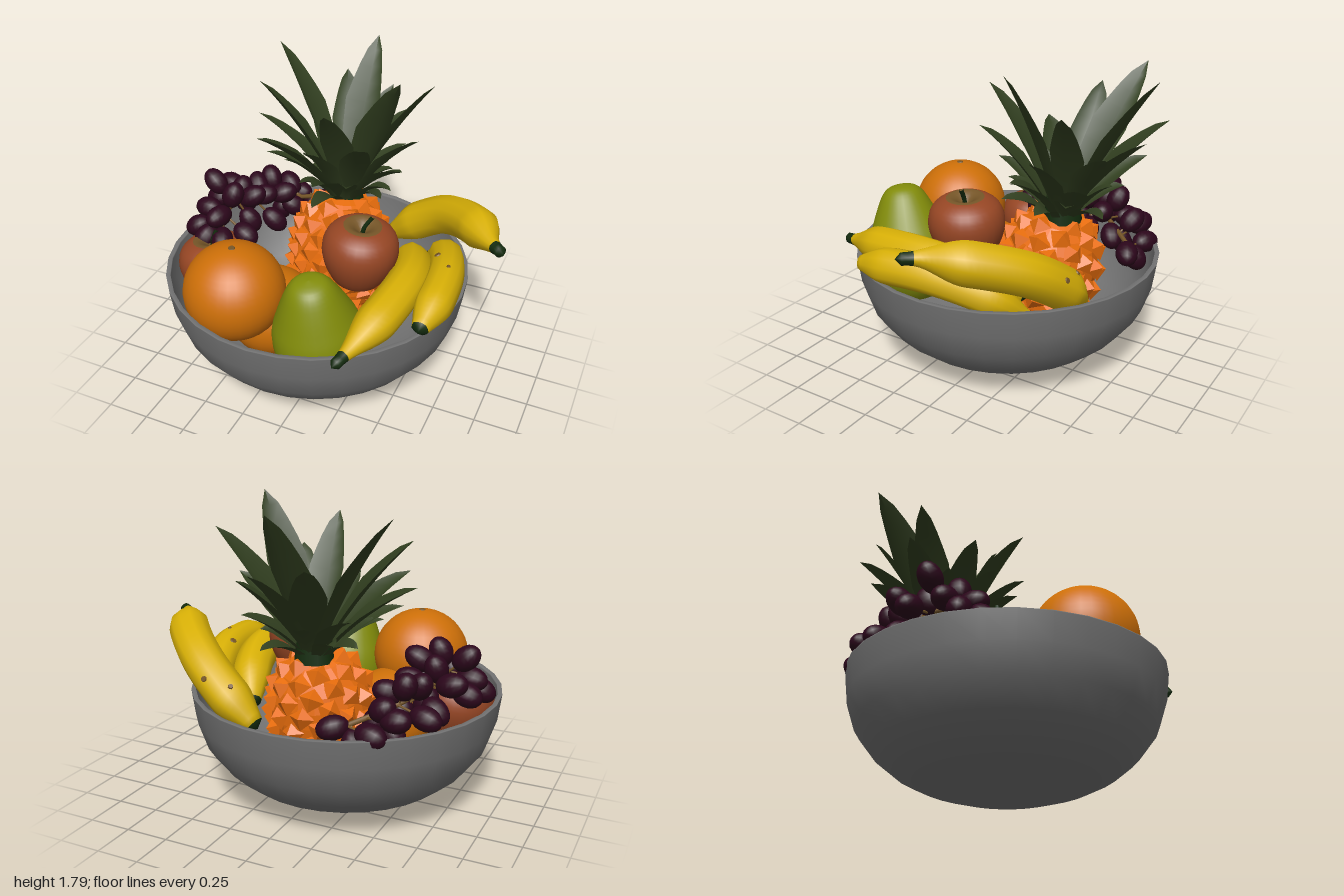
import * as THREE from 'three';
import { mergeVertices } from 'three/addons/utils/BufferGeometryUtils.js';

const V = (x, y, z) => new THREE.Vector3(x, y, z);
const UP = V(0, 1, 0);

function material(name, color, options = {}) {
  const m = new THREE.MeshStandardMaterial({ color, ...options });
  m.name = name;
  return m;
}

const mats = {
  bowl: material('bowl grey', 0x747474),
  banana: material('banana yellow', 0xd8b006),
  tip: material('tip dark green', 0x142c0e),
  orange: material('orange skin', 0xcd6f08),
  pear: material('pear green', 0x828c0a),
  apple: material('apple red', 0x964624),
  grape: material('grape purple', 0x2c061b),
  leaf: material('leaf green', 0x324020, { side: THREE.DoubleSide }),
  pineapple: material('pineapple orange', 0xfa760e, { flatShading: true }),
  stem: material('stem brown', 0x765628),
};

function add(parent, name, geometry, mat, position) {
  const mesh = new THREE.Mesh(geometry, mat);
  mesh.name = name;
  if (position) mesh.position.copy(position);
  parent.add(mesh);
  return mesh;
}

function lathe(profile, segments) {
  return new THREE.LatheGeometry(profile.map(p => new THREE.Vector2(p[0], p[1])), segments);
}

function smoothLathe(profile, segments) {
  const curve = new THREE.SplineCurve(profile.map(p => new THREE.Vector2(p[0], p[1])));
  const points = curve.getPoints(28);
  points.forEach(p => { p.x = Math.max(0, p.x); });
  return new THREE.LatheGeometry(points, segments);
}

function tube(points, radius) {
  return new THREE.TubeGeometry(new THREE.CatmullRomCurve3(points), 12, radius, 6);
}

// Tapered curved tube with dark ends; spots are [position along, direction, size]
function banana(parent, points, radius, spots) {
  const rings = 40, sides = 12;
  const curve = new THREE.CatmullRomCurve3(points.map(p => V(...p)));
  let geo = new THREE.TubeGeometry(curve, rings, radius, sides);
  const profile = u => {
    if (u === 0 || u === 1) return 0;
    const a = THREE.MathUtils.smoothstep(u, 0.04, 0.3);
    const b = THREE.MathUtils.smoothstep(1 - u, -0.04, 0.2);
    return (0.28 + 0.72 * a) * (0.35 + 0.65 * b);
  };
  const pos = geo.attributes.position, v = V();
  for (let i = 0; i <= rings; i++) {
    const centre = curve.getPointAt(i / rings);
    for (let j = 0; j <= sides; j++) {
      const k = i * (sides + 1) + j;
      const ridge = 1 + 0.04 * Math.cos(j / sides * Math.PI * 10);
      v.fromBufferAttribute(pos, k).sub(centre).multiplyScalar(profile(i / rings) * ridge).add(centre);
      pos.setXYZ(k, v.x, v.y, v.z);
    }
  }
  geo.deleteAttribute('uv');
  geo.deleteAttribute('normal');
  geo = mergeVertices(geo);
  geo.computeVertexNormals();
  const ring = sides * 6;
  geo.addGroup(0, ring * 3, 1);
  geo.addGroup(ring * 3, ring * (rings - 4), 0);
  geo.addGroup(ring * (rings - 1), ring, 1);
  add(parent, 'banana', geo, [mats.banana, mats.tip]);
  spots.forEach(([u, dir, size]) => {
    // Keep the direction square to the banana's length
    const n = V(...dir).projectOnPlane(curve.getTangentAt(u)).normalize();
    const centre = curve.getPointAt(u).addScaledVector(n, radius * profile(u));
    const spot = add(parent, 'bananaSpot', new THREE.CylinderGeometry(size * 0.8, size, 0.009, 8), mats.stem, centre);
    spot.quaternion.setFromUnitVectors(UP, n);
  });
}

// Broad pointed leaf with a cupped section, swept along a bent spine
function leaf(parent, base, tip, halfWidth, axis) {
  const mid = base.clone().lerp(tip, 0.5).addScaledVector(axis, 0.08);
  const spine = new THREE.QuadraticBezierCurve3(base, mid, tip);
  const side = axis.clone().cross(tip.clone().sub(base)).normalize();
  const steps = 8, verts = [], index = [];
  for (let i = 0; i <= steps; i++) {
    const t = i / steps, p = spine.getPoint(t);
    const w = halfWidth * (t < 0.5 ? 0.6 + 0.8 * t : Math.pow((1 - t) / 0.5, 0.62));
    const lift = side.clone().cross(spine.getTangent(t)).normalize().multiplyScalar(-w * 0.42);
    for (const s of [-1, 0, 1]) {
      const q = p.clone().addScaledVector(side, s * w).addScaledVector(lift, Math.abs(s));
      verts.push(q.x, q.y, q.z);
    }
    if (i < steps) for (const k of [0, 1]) {
      const a = i * 3 + k;
      index.push(a, a + 1, a + 3, a + 1, a + 4, a + 3);
    }
  }
  const geo = new THREE.BufferGeometry();
  geo.setAttribute('position', new THREE.Float32BufferAttribute(verts, 3));
  geo.setIndex(index);
  geo.computeVertexNormals();
  add(parent, 'crownLeaf', geo, mats.leaf);
}

function pineapple(parent) {
  const group = new THREE.Group();
  group.name = 'pineapple';
  parent.add(group);
  const centre = V(-0.08, 0.55, -0.26), axis = V(0, 0.4, -0.09).normalize();
  const body = new THREE.Group();
  body.name = 'pineappleBody';
  body.position.copy(centre);
  body.quaternion.setFromUnitVectors(UP, axis);
  group.add(body);
  const radiusAt = y => 0.29 * Math.pow(Math.max(0, 1 - Math.pow(Math.abs(y) / 0.41, 2.6)), 0.5);
  const profile = [];
  for (let i = 0; i <= 14; i++) {
    const y = -0.41 * Math.cos(i / 14 * Math.PI);
    profile.push([radiusAt(y), y]);
  }
  add(body, 'pineappleCore', lathe(profile, 18), mats.pineapple);
  // Pointed eyes arranged in a spiral
  const spike = new THREE.ConeGeometry(0.072, 0.06, 4);
  const count = 100;
  for (let i = 0; i < count; i++) {
    const y = -0.37 + 0.75 * i / (count - 1), a = i * 2.39996, r = radiusAt(y);
    const slope = (radiusAt(y - 0.01) - radiusAt(y + 0.01)) / 0.02;
    const normal = V(Math.cos(a), slope + 0.25, Math.sin(a)).normalize();
    const eye = add(body, 'pineappleEye', spike, mats.pineapple, V(r * Math.cos(a), y, r * Math.sin(a)));
    eye.position.addScaledVector(normal, 0.022);
    eye.quaternion.setFromUnitVectors(UP, normal);
  }
  // Crown: tall leaves by tip position and half width
  const root = centre.clone().addScaledVector(axis, 0.39);
  const tips = [
    [-0.09, 1.77, -0.89, 0.11], [0.3, 1.79, -0.2, 0.11], [-0.62, 1.75, -0.6, 0.11], [-0.02, 1.66, 0.09, 0.1],
    [0.38, 1.64, -0.58, 0.1], [-0.62, 1.6, -0.32, 0.1], [0.18, 1.47, 0.03, 0.09], [-0.5, 1.38, -0.03, 0.1],
    [0.02, 1.47, -0.88, 0.09], [-0.29, 1.52, -0.88, 0.1], [0.18, 1.4, -0.73, 0.09], [-0.66, 1.37, -0.36, 0.09],
    [0.36, 1.37, -0.39, 0.09], [-0.2, 1.35, -0.02, 0.09], [-0.1, 1.21, 0.08, 0.08], [0.32, 1.23, -0.25, 0.08],
    [-0.52, 1.22, -0.18, 0.08], [-0.45, 1.25, -0.7, 0.08], [0.2, 1.2, -0.65, 0.08],
  ];
  tips.forEach(([x, y, z, w]) => {
    const out = V(x - root.x, 0, z - root.z).normalize().multiplyScalar(0.06);
    const base = root.clone().add(out).addScaledVector(axis, THREE.MathUtils.clamp((y - 1.2) * 0.12, 0, 0.08));
    leaf(group, base, V(x, y, z), w, axis);
  });
  // Short spreading leaves at the foot of the crown
  for (let i = 0; i < 11; i++) {
    const a = i / 11 * Math.PI * 2;
    const out = V(Math.cos(a), 0, Math.sin(a));
    const tip = root.clone().addScaledVector(out, 0.3 + 0.07 * (i % 2)).add(V(0, 0.1 + 0.06 * (i % 3), 0));
    leaf(group, root.clone().addScaledVector(out, 0.08), tip, 0.065, axis);
  }
  add(group, 'crownHeart', new THREE.CylinderGeometry(0.09, 0.11, 0.2, 10), mats.tip, root.clone().addScaledVector(axis, 0.08));
}

function apple(parent, x, y, z, lean) {
  const group = new THREE.Group();
  group.name = 'apple';
  group.position.set(x, y, z);
  group.rotation.z = lean;
  parent.add(group);
  add(group, 'appleBody', smoothLathe([[0, -0.16], [0.06, -0.19], [0.14, -0.15], [0.2, -0.04], [0.22, 0.07],
    [0.19, 0.16], [0.11, 0.21], [0.05, 0.19], [0, 0.14]], 28), mats.apple);
  // Brown lining of the hollow around the stem
  add(group, 'appleHollow', lathe([[0.11, 0.211], [0.092, 0.215], [0.072, 0.208], [0.05, 0.196], [0.025, 0.173], [0, 0.147]], 18), mats.stem);
  add(group, 'appleStem', tube([V(0, 0.13, 0), V(0.01, 0.2, 0), V(0.05, 0.28, -0.01)], 0.013), mats.tip);
}

function orange(parent, centre, radius, navel) {
  add(parent, 'orange', new THREE.SphereGeometry(radius, 32, 24), mats.orange, centre).scale.y = 0.98;
  const n = navel.normalize();
  const button = add(parent, 'orangeButton', new THREE.CylinderGeometry(0.018, 0.022, 0.008, 8), mats.stem,
    centre.clone().addScaledVector(n, radius * 0.98));
  button.quaternion.setFromUnitVectors(UP, n);
}

function grapes(parent) {
  const group = new THREE.Group();
  group.name = 'grapeBunch';
  parent.add(group);
  const stalk = new THREE.CatmullRomCurve3([V(-0.73, 0.84, 0.02), V(-0.72, 0.83, -0.2), V(-0.58, 0.75, -0.42), V(-0.38, 0.68, -0.66)]);
  add(group, 'grapeStalk', new THREE.TubeGeometry(stalk, 20, 0.014, 6), mats.stem);
  const spots = [
    [-0.9, 0.73, 0.05], [-0.8, 0.72, 0.13], [-0.66, 0.75, 0.17], [-0.56, 0.76, 0.06], [-0.87, 0.82, -0.04],
    [-0.74, 0.84, 0.06], [-0.69, 0.95, -0.04], [-0.86, 0.96, -0.13], [-0.6, 0.92, -0.12], [-0.9, 0.79, -0.22],
    [-0.72, 0.9, -0.2], [-0.84, 0.86, -0.3], [-0.6, 0.85, -0.27], [-0.77, 0.72, -0.34], [-0.69, 0.85, -0.36],
    [-0.64, 0.87, -0.45], [-0.53, 0.81, -0.4], [-0.76, 0.72, -0.46], [-0.5, 0.68, -0.48], [-0.65, 0.74, -0.6],
    [-0.55, 0.67, -0.68], [-0.57, 0.78, -0.58], [-0.33, 0.67, -0.66], [-0.6, 0.62, -0.5], [-0.45, 0.6, -0.66],
    [-0.66, 0.7, -0.18], [-0.55, 0.66, -0.3],
  ];
  const berry = new THREE.SphereGeometry(0.066, 14, 10);
  spots.forEach(([x, y, z], i) => {
    const p = V(x, y, z);
    const node = stalk.getPoint(THREE.MathUtils.clamp(-z / 0.7, 0, 1));
    const dir = p.clone().sub(node).normalize();
    const grape = add(group, 'grape', berry, mats.grape, p);
    grape.scale.y = 1.3 + 0.05 * (i % 3);
    grape.quaternion.setFromUnitVectors(UP, dir);
    add(group, 'grapeStem', tube([node, node.clone().lerp(p, 0.5), p], 0.007), mats.stem);
  });
}

export function createModel() {
  const model = new THREE.Group();
  model.name = 'fruitBowl';

  // Hollow bowl: outer wall up, over the rim, inner wall down
  add(model, 'bowl', lathe([[0, 0], [0.14, 0.003], [0.34, 0.03], [0.5, 0.08], [0.62, 0.14], [0.73, 0.23], [0.83, 0.36],
    [0.88, 0.51], [0.9, 0.665], [0.9, 0.67], [0.875, 0.67], [0.873, 0.66], [0.853, 0.51], [0.8, 0.37], [0.7, 0.25],
    [0.57, 0.16], [0.34, 0.07], [0, 0.035]], 32), mats.bowl, V(-0.1, 0, 0.015));

  orange(model, V(-0.37, 0.725, 0.54), 0.29, V(0, 1, 0));
  orange(model, V(-0.28, 0.42, 0.27), 0.275, V(-0.4, 0.85, -0.4));
  apple(model, 0.205, 0.84, 0.1, -0.08);
  apple(model, -0.71, 0.54, 0.18, 0.12);

  const pear = add(model, 'pear', smoothLathe([[0, -0.25], [0.14, -0.22], [0.23, -0.1], [0.255, 0.03], [0.245, 0.14],
    [0.208, 0.24], [0.165, 0.34], [0.122, 0.42], [0.075, 0.46], [0, 0.475]], 28), mats.pear, V(0.155, 0.53, 0.545));
  pear.rotation.set(0.17, 0, 0.05);

  banana(model, [[1, 1, -0.01], [0.9, 0.99, -0.11], [0.75, 0.95, -0.32], [0.55, 0.86, -0.5], [0.36, 0.73, -0.58],
    [0.14, 0.56, -0.61]], 0.118, [[0.8, [0, 1, -0.4], 0.016], [0.7, [0, 0.3, -1], 0.018]]);
  banana(model, [[0.42, 0.52, -0.5], [0.58, 0.68, -0.33], [0.68, 0.77, -0.05], [0.71, 0.78, 0.2], [0.7, 0.74, 0.49]],
    0.104, [[0.5, [-0.6, 0.8, 0], 0.022], [0.62, [0.2, 1, 0], 0.012]]);
  banana(model, [[0.37, 0.68, 0.87], [0.42, 0.71, 0.7], [0.49, 0.76, 0.42], [0.51, 0.77, 0.12], [0.44, 0.7, -0.15],
    [0.32, 0.58, -0.36]], 0.113, []);

  grapes(model);
  pineapple(model);
  return model;
}
